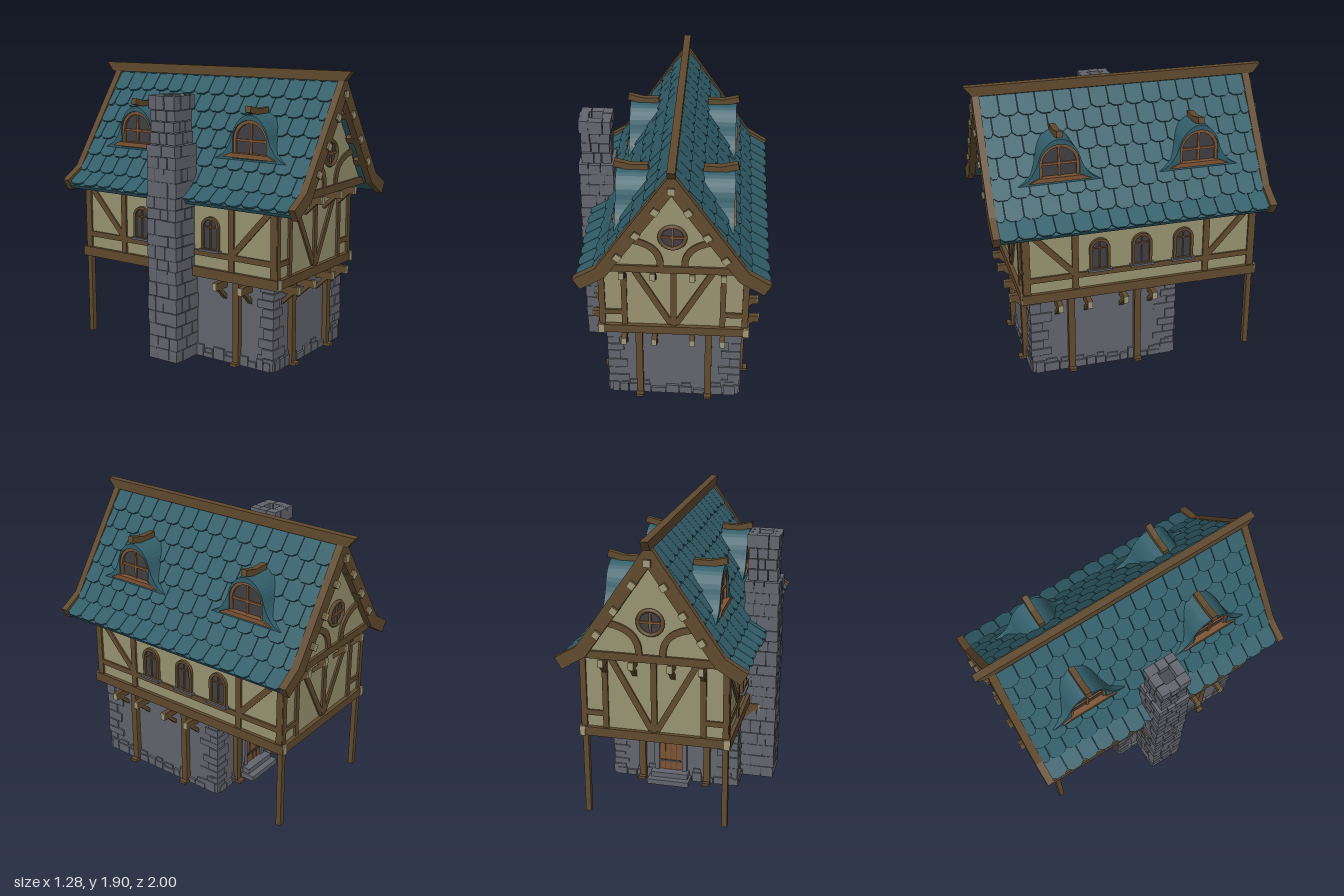
import * as THREE from 'three';

const mk = (name, hex) => { const m = new THREE.MeshStandardMaterial({ color: hex }); m.name = name; return m; };
const M = {
  stone: mk('stone', 0x62656d), joint: mk('stone joint', 0x474a51), wood: mk('timber', 0x604a2e),
  frame: mk('window wood', 0x7d5433), plaster: mk('plaster', 0x989371), cut: mk('cut timber end', 0xa09a78),
  tile: mk('roof tile', 0x315e69), glass: mk('glass', 0x403f43),
};
const CX = 0.02, ZU = -0.035, ZG = 0.214; // house axis, upper and ground storey centres
let seed = 7;
const rnd = (a, b) => { seed = (seed * 16807) % 2147483647; return a + (b - a) * seed / 2147483647; };

function put(parent, name, geo, mat) {
  const m = new THREE.Mesh(geo, mat); m.name = name; parent.add(m); return m;
}
function box(parent, name, mat, x, y, z, w, h, d) {
  const m = put(parent, name, new THREE.BoxGeometry(w, h, d), mat); m.position.set(x, y, z); return m;
}
function group(parent, name, x, y, z, ry = 0) {
  const g = new THREE.Group(); g.name = name; g.position.set(x, y, z); g.rotation.y = ry; parent.add(g); return g;
}
const extrude = (shape, z0, depth) =>
  new THREE.ExtrudeGeometry(shape, { depth, bevelEnabled: false, curveSegments: 10 }).translate(0, 0, z0);
const poly = pts => new THREE.Shape(pts.map(p => new THREE.Vector2(p[0], p[1])));

// Mitred flat timber following a polyline in the xy plane
function band(pts, width) {
  const P = pts.map(p => new THREE.Vector2(p[0], p[1])), L = [], R = [];
  P.forEach((p, i) => {
    const a = P[Math.max(i - 1, 0)], b = P[Math.min(i + 1, P.length - 1)];
    const d1 = (i ? p.clone().sub(a) : b.clone().sub(p)).normalize();
    const d2 = (i < P.length - 1 ? b.clone().sub(p) : d1.clone()).normalize();
    const t = d1.clone().add(d2).normalize(), n = new THREE.Vector2(-t.y, t.x);
    n.multiplyScalar(width / 2 / t.dot(d2));
    L.push(p.clone().add(n)); R.unshift(p.clone().sub(n));
  });
  return new THREE.Shape([...L, ...R]);
}
const timber = (g, name, pts, w, z0, d, mat = M.wood) => put(g, name, extrude(band(pts, w), z0, d), mat);

// Round-headed outline: half width r, sill y0, spring line ys
function arch(u, r, y0, ys, T = THREE.Shape) {
  const s = new T(); s.moveTo(u - r, y0); s.lineTo(u + r, y0); s.lineTo(u + r, ys);
  s.absarc(u, ys, r, 0, Math.PI, false); s.lineTo(u - r, y0); return s;
}
function archWindow(g, u, r, t, y0, ys, z, mat) {
  const ring = arch(u, r + t, y0 - t * 0.5, ys); ring.holes.push(arch(u, r, y0, ys, THREE.Path));
  put(g, 'windowFrame', extrude(ring, z, 0.022), mat);
  put(g, 'windowGlass', extrude(arch(u, r, y0, ys), z, 0.006), M.glass);
  box(g, 'mullion', M.frame, u, (y0 + ys + r) / 2, z + 0.01, r * 0.14, ys + r - y0, 0.012);
  box(g, 'transom', M.frame, u, ys, z + 0.01, r * 2, r * 0.14, 0.012);
}

// Joist end with a pale cut face and a diagonal strut below
function bracket(g, u, y, len) {
  box(g, 'joist', M.wood, u, y, len / 2 - 0.02, 0.034, 0.05, len + 0.04);
  box(g, 'joistEnd', M.cut, u, y, len + 0.002, 0.034, 0.05, 0.005);
  const s = box(g, 'strut', M.wood, u, y - 0.052, len * 0.33, 0.03, 0.025, 0.125);
  s.rotation.x = -0.75;
}

function groundFacade(g) {
  for (const s of [-1, 1]) {
    for (const u of [0.122, 0.318]) bracket(g, s * u, 0.532, 0.12);
    box(g, 'groundPost', M.wood, s * 0.228, 0.28, 0.01, 0.045, 0.56, 0.05);
    box(g, 'postFoot', M.wood, s * 0.228, 0.01, 0.035, 0.05, 0.02, 0.06);
  }
}

// Low footing stones along one wall
function footing(g, half) {
  for (let u = -half; u < half - 0.03;) {
    const w = Math.min(rnd(0.05, 0.11), half - u), h = rnd(0.03, 0.085);
    box(g, 'footingStone', M.stone, u + w / 2, h / 2, 0.004, w - 0.006, h, 0.024);
    if (rnd(0, 1) > 0.6) box(g, 'footingStone', M.stone, u + w / 2, h + 0.016, 0, w * 0.7, 0.026, 0.02);
    u += w;
  }
}

// Half-timbered end wall with overhanging gable
function gableFacade(g, over) {
  for (const s of [-1, 1]) {
    box(g, 'cornerPost', M.wood, s * 0.457, 0.86, 0, 0.037, 0.5, 0.024);
    box(g, 'wallPost', M.wood, s * 0.315, 0.86, 0, 0.036, 0.5, 0.022);
    box(g, 'shortRail', M.wood, s * 0.39, 0.718, 0, 0.12, 0.036, 0.02);
    timber(g, 'diagonalBrace', [[s * 0.28, 1.11], [s * 0.018, 0.635]], 0.04, -0.01, 0.019);
    for (const u of [0.122, 0.315]) bracket(g, s * u, 1.088, over + 0.025);
  }
  box(g, 'centrePost', M.wood, 0, 0.86, 0, 0.038, 0.5, 0.022);
  box(g, 'sillBeam', M.wood, 0, 0.592, 0, 0.93, 0.06, 0.05);
  box(g, 'gableBeam', M.wood, 0, 1.14, over / 2, 0.94, 0.05, over + 0.03);
  // gable timbers
  const q = group(g, 'gable', 0, 0, over);
  for (const s of [-1, 1]) {
    const c = new THREE.QuadraticBezierCurve(new THREE.Vector2(s * 0.315, 1.355),
      new THREE.Vector2(s * 0.07, 1.34), new THREE.Vector2(s * 0.075, 1.165));
    timber(q, 'curvedBrace', c.getPoints(10).map(p => [p.x, p.y]), 0.042, -0.005, 0.017);
  }
  put(q, 'roundFrame', new THREE.TorusGeometry(0.078, 0.013, 6, 24), M.wood).position.set(0, 1.375, 0.008);
  put(q, 'roundGlass', new THREE.CircleGeometry(0.075, 24), M.glass).position.set(0, 1.375, 0.004);
  box(q, 'roundMullion', M.frame, 0, 1.375, 0.008, 0.014, 0.15, 0.012);
  box(q, 'roundTransom', M.frame, 0, 1.375, 0.008, 0.15, 0.014, 0.012);
}

// Long wall with three arched windows
function sideFacade(g) {
  for (const s of [-1, 1]) {
    box(g, 'cornerPost', M.wood, s * 0.767, 0.86, 0, 0.046, 0.5, 0.024);
    box(g, 'wallPost', M.wood, s * 0.447, 0.86, 0, 0.042, 0.5, 0.022);
    timber(g, 'diagonalBrace', [[s * 0.755, 1.07], [s * 0.462, 0.745]], 0.04, -0.01, 0.019);
    box(g, 'sillBeamEnd', M.cut, s * 0.809, 0.592, 0.002, 0.006, 0.066, 0.036);
  }
  box(g, 'sillBeam', M.wood, 0, 0.592, 0.002, 1.612, 0.066, 0.04);
  box(g, 'rail', M.wood, 0, 0.72, 0, 1.53, 0.038, 0.02);
  for (const u of [-0.285, 0, 0.285]) {
    archWindow(g, u, 0.05, 0.018, 0.755, 0.9, -0.003, M.wood);
    box(g, 'windowSill', M.stone, u, 0.744, 0.012, 0.16, 0.014, 0.04);
  }
}

function dormer(house, s, z) {
  const g = group(house, 'dormer', 0, 0, z, s * Math.PI / 2);
  const half = [[0.268, 1.335], [0.2, 1.375], [0.15, 1.45], [0.118, 1.54], [0.065, 1.605], [0, 1.628]];
  const pts = [...half, ...half.slice(0, 5).reverse().map(p => [-p[0], p[1]])];
  const curve = new THREE.SplineCurve(pts.map(p => new THREE.Vector2(...p)));
  const shell = new THREE.Shape(curve.getPoints(30));
  shell.holes.push(arch(0, 0.128, 1.345, 1.465, THREE.Path));
  put(g, 'dormerRoof', extrude(shell, 0.1, 0.268), M.tile);
  archWindow(g, 0, 0.11, 0.02, 1.375, 1.462, 0.335, M.frame);
  put(g, 'dormerSill', extrude(poly([[-0.2, 1.35], [0.2, 1.35], [0.14, 1.38], [-0.14, 1.38]]), 0.33, 0.05), M.frame);
  timber(house, 'dormerRidge', [[s * 0.17, 1.643], [s * 0.28, 1.64], [s * 0.385, 1.665]], 0.042, z - 0.02, 0.04);
}

// Overlapping courses of separate tiles on one slope
function tiles(house, s) {
  const path = [[0, 1.825], [0.462, 1.165], [0.575, 1.08]], rows = 7, n = 15, z0 = -0.875, z1 = 0.91;
  const w = (z1 - z0) / n;
  for (let r = 0; r < rows; r++) {
    const [p, q] = r < rows - 1 ? [path[0], path[1]] : [path[1], path[2]];
    const f = r < rows - 1 ? r / (rows - 1) : 0, len = r < rows - 1 ? 0.1343 : 0.141;
    const t = new THREE.Vector3(s * (p[0] - q[0]), p[1] - q[1], 0).normalize();
    const a = new THREE.Vector3(0, 0, -s), nrm = a.clone().cross(t);
    const tilt = new THREE.Matrix4().makeRotationX(-0.1);
    for (let k = 0; k <= n; k++) {
      const c0 = Math.max(z0, z0 + (k - (r % 2) * 0.5) * w), c1 = Math.min(z1, z0 + (k + 1 - (r % 2) * 0.5) * w);
      if (c1 - c0 < 0.02) continue;
      const h = (c1 - c0) / 2 - 0.002, b = -len - rnd(0.006, 0.018);
      const geo = extrude(poly([[-h, 0.01], [-h, b + 0.022], [-h * 0.5, b], [h * 0.5, b], [h, b + 0.022], [h, 0.01]]), -0.004, 0.012);
      const m = new THREE.Matrix4().makeBasis(a, t, nrm)
        .setPosition(s * (p[0] + (q[0] - p[0]) * f), p[1] + (q[1] - p[1]) * f, (c0 + c1) / 2);
      put(house, 'roofTile', geo.applyMatrix4(m.multiply(tilt)), M.tile);
    }
  }
}

// Hollow stack of stones laid in alternating pinwheels
function chimney(root) {
  const g = group(root, 'chimney', -0.53, 0, 0);
  box(g, 'chimneyCore', M.joint, 0, 0.7, 0, 0.222, 1.4, 0.222);
  box(g, 'chimneyCore', M.joint, 0, 1.5, 0, 0.1, 0.36, 0.1);
  for (let i = 0, y = 0; y < 1.74; i++) {
    const hgt = Math.min(rnd(0.07, 0.105), 1.745 - y), t = 0.062;
    const h = (y < 1.36 ? 0.116 : y < 1.6 ? 0.094 : 0.104) + rnd(-0.003, 0.003);
    const dir = i % 2 ? 1 : -1;
    for (let k = 0; k < 4; k++) {
      const side = group(g, 'chimneyCourse', 0, y + hgt / 2, 0, k * Math.PI / 2);
      const full = 2 * h - t, cut = full * rnd(0.35, 0.65);
      for (const [a, b] of [[-h, -h + cut], [-h + cut, h - t]])
        box(side, 'chimneyStone', M.stone, dir * (a + b) / 2, 0, h - t / 2 + rnd(-0.002, 0.005), b - a - 0.004, hgt - 0.005, t);
    }
    y += hgt;
  }
}

export function createModel() {
  const root = new THREE.Group(); root.name = 'timberHouse';
  const house = group(root, 'house', CX, 0, 0);
  const H = Math.PI / 2;

  // ground storey
  box(house, 'groundWalls', M.stone, 0, 0.28, ZG, 0.864, 0.56, 0.98);
  const walls = [[0, ZG + 0.49, 0, 0.42], [0, ZG - 0.49, 2 * H, 0.42], [0.432, ZG, H, 0.48], [-0.432, ZG, -H, 0.48]];
  for (const [x, z, r, half] of walls) {
    const g = group(house, 'groundWallTrim', x, 0, z, r);
    groundFacade(g); footing(g, half);
  }
  // corner stones
  for (const sx of [-1, 1]) for (const sz of [-1, 1])
    for (let y = 0, i = 0; y < 0.53; i++) {
      const h = Math.min(rnd(0.045, 0.085), 0.555 - y), o = rnd(0.006, 0.014);
      const lx = i % 2 ? rnd(0.1, 0.15) : rnd(0.06, 0.09), lz = i % 2 ? rnd(0.06, 0.09) : rnd(0.1, 0.15);
      box(house, 'cornerStone', M.stone, sx * (0.432 + o - lx / 2), y + h / 2, ZG + sz * (0.49 + o - lz / 2), lx, h - 0.006, lz);
      y += h;
    }
  // door and steps
  const d = group(house, 'doorway', 0.03, 0, -0.276, Math.PI);
  const surround = arch(0, 0.115, 0, 0.31); surround.holes.push(arch(0, 0.08, 0, 0.31, THREE.Path));
  put(d, 'doorSurround', extrude(surround, -0.01, 0.03), M.stone);
  put(d, 'door', extrude(arch(0, 0.08, 0.06, 0.31), -0.01, 0.018), M.frame);
  for (const x of [-0.04, 0, 0.04]) box(d, 'doorGap', M.wood, x, 0.21, 0.009, 0.006, 0.3, 0.004);
  for (const y of [0.14, 0.29]) box(d, 'doorHinge', M.glass, 0, y, 0.011, 0.14, 0.014, 0.006);
  box(d, 'upperStep', M.stone, 0, 0.036, 0.035, 0.26, 0.072, 0.07);
  box(d, 'lowerStep', M.stone, 0, 0.018, 0.06, 0.29, 0.036, 0.11);

  // upper storey and gables
  box(house, 'upperWalls', M.plaster, 0, 0.835, ZU, 0.93, 0.55, 1.56);
  put(house, 'gableWalls', extrude(poly([[-0.44, 1.12], [0.44, 1.12], [0, 1.77]]), -0.875, 1.725), M.plaster);
  gableFacade(group(house, 'frontFacade', 0, 0, 0.748), 0.1);
  gableFacade(group(house, 'backFacade', 0, 0, -0.818, Math.PI), 0.06);
  for (const s of [-1, 1]) {
    sideFacade(group(house, 'sideFacade', s * 0.467, 0, ZU, s * H));
    box(house, 'porchPost', M.wood, s * 0.455, 0.28, -0.81, 0.036, 0.56, 0.036);
  }

  // roof
  const slope = [[0.574, 1.065], [0.455, 1.145]];
  const under = [[-0.574, 1.065], [-0.455, 1.145], [0, 1.797], ...slope.slice().reverse()];
  put(house, 'roofDeck', extrude(band(under, 0.028), -0.875, 1.785), M.tile);
  for (const s of [-1, 1]) {
    tiles(house, s);
    for (const z of [0.475, -0.452]) dormer(house, s, z);
  }
  // barge boards and purlin ends
  const barge = [[-0.582, 1.075], [-0.435, 1.163], [0, 1.795], [0.435, 1.163], [0.582, 1.075]];
  for (const [z0, z1, tip] of [[0.906, 0.952, 0.962], [-0.922, -0.872, -0.942]]) {
    timber(house, 'bargeBoard', barge, 0.085, z0, z1 - z0);
    const out = Math.sign(tip);
    for (const [x, y] of [[0, 1.755], [0.097, 1.615], [0.212, 1.447], [0.325, 1.287]])
      for (const s of x ? [-1, 1] : [1]) {
        const p = box(house, 'purlin', M.wood, s * x, y, tip - out * 0.05, 0.044, 0.044, 0.1);
        const e = box(house, 'purlinEnd', M.cut, s * x, y, tip + out * 0.002, 0.044, 0.044, 0.004);
        p.rotation.z = e.rotation.z = x ? -s * 0.96 : 0;
      }
  }
  // ridge beam with undercut ends
  const ridge = extrude(poly([[-1, 1.9], [-0.95, 1.835], [0.95, 1.835], [1, 1.9]]), -0.024, 0.048).rotateY(H);
  put(house, 'ridgeBeam', ridge, M.wood);

  chimney(root);
  return root;
}
